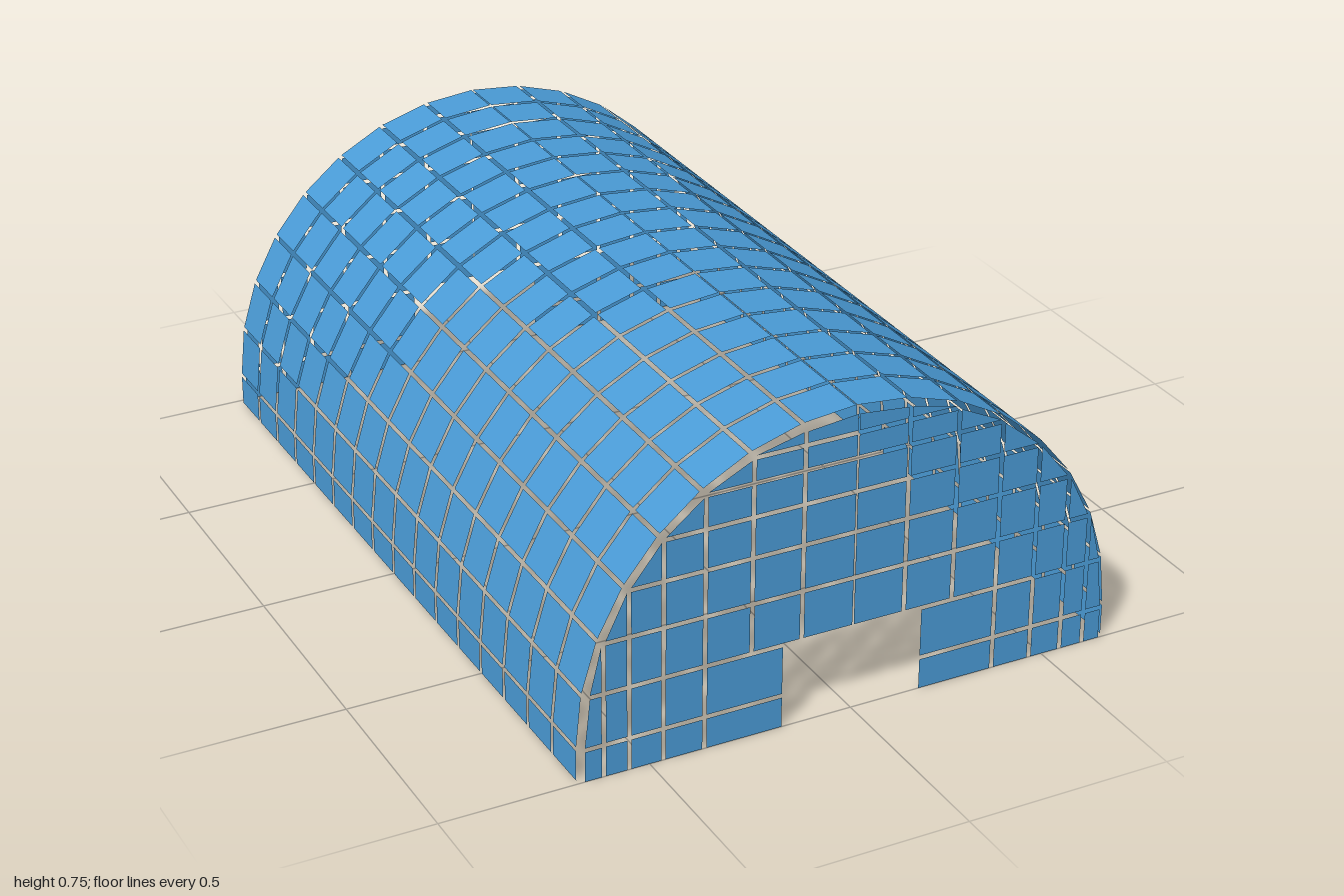
import * as THREE from 'three';
import { mergeGeometries } from 'three/addons/utils/BufferGeometryUtils.js';

const STEPS = 16;        // facets over the half circle
const SPRING = 0.08;     // height where the arch starts
const GAP = 0.01;        // open joint between panels
const H = GAP / 2;
const ROOF_R = 0.67, WALL_R = 0.66;
const RINGS = 16, PITCH = 0.124;

const material = new THREE.MeshStandardMaterial({
  color: 0x4a9bd6, side: THREE.DoubleSide, flatShading: true,
});

// Corner k of the faceted arch, counted from the right-hand springing point
const arch = (r, k) => new THREE.Vector2(
  r * Math.cos(Math.PI * k / STEPS), SPRING + r * Math.sin(Math.PI * k / STEPS));

// Flat roof panel spanning a to b in section, centred at z
function roofPanel(a, b, z, trimA, trimB) {
  const dir = b.clone().sub(a).normalize();
  const p = a.clone().addScaledVector(dir, trimA);
  const q = b.clone().addScaledVector(dir, -trimB);
  const g = new THREE.PlaneGeometry(PITCH - GAP, p.distanceTo(q));
  g.rotateY(Math.PI / 2);
  g.rotateZ(Math.atan2(dir.y, dir.x) - Math.PI / 2);
  g.translate((p.x + q.x) / 2, (p.y + q.y) / 2, z);
  return g;
}

// One lengthwise row of roof panels
function roofStrip(name, a, b, trimA, trimB) {
  const parts = [];
  for (let i = 0; i < RINGS; i++) {
    parts.push(roofPanel(a, b, (i - (RINGS - 1) / 2) * PITCH, trimA, trimB));
  }
  const mesh = new THREE.Mesh(mergeGeometries(parts), material);
  mesh.name = name;
  return mesh;
}

// End wall: a grid of panels on the arch corners, with sloped edge pieces
function wallGeometry() {
  const pts = [];
  for (let k = 0; k <= STEPS / 2; k++) pts.push(arch(WALL_R, k));
  const X = k => pts[k].x, Y = k => pts[k].y;
  const parts = [];
  const add = corners => {
    for (const s of [1, -1]) {
      const shape = new THREE.Shape(corners.map(([x, y]) => new THREE.Vector2(s * x, y)));
      parts.push(new THREE.ShapeGeometry(shape));
    }
  };
  const doorHalf = 0.175;
  for (let k = 1; k <= 7; k++) {
    const outer = X(k) - H;
    const inner = k === 7 ? 0.002 : X(k + 1) + H;
    // full panels, row by row
    const top = Math.min(k, 6);
    for (let row = 0; row <= top; row++) {
      const y0 = row === 0 ? 0 : Y(row - 1) + H;
      const y1 = Y(row) - H;
      const beside = row < 2;               // rows next to the doorway
      if (beside && k > 5) continue;
      const x0 = beside && k === 5 ? doorHalf : inner;
      const low = k === 1 && beside ? X(0) - H : outer;
      const high = k === 1 && row === 0 ? X(0) - H : outer;
      add([[x0, y0], [low, y0], [high, y1], [x0, y1]]);
    }
    // edge piece under the arch
    const base = Y(top) + H;
    if (k === 7) add([[inner, base], [outer, base], [outer, Y(7) - H], [inner, Y(8) - H]]);
    else add([[inner, base], [outer, base], [inner, Y(k + 1) - H]]);
  }
  return mergeGeometries(parts);
}

export function createModel() {
  const model = new THREE.Group();
  model.name = 'archedShelter';

  // Curved roof
  const roof = new THREE.Group();
  roof.name = 'roof';
  for (let k = 0; k < STEPS; k++) {
    const trimA = k === STEPS / 2 ? 0.002 : H;
    const trimB = k === STEPS / 2 - 1 ? 0.002 : H;
    roof.add(roofStrip('roofStrip' + (k + 1), arch(ROOF_R, k), arch(ROOF_R, k + 1), trimA, trimB));
  }

  // Upright base rows on both sides
  const foot = x => new THREE.Vector2(x, 0);
  roof.add(roofStrip('leftBaseRow', foot(ROOF_R), arch(ROOF_R, 0), 0, H));
  roof.add(roofStrip('rightBaseRow', arch(ROOF_R, STEPS), foot(-ROOF_R), H, 0));
  model.add(roof);

  // End walls with doorways
  const wall = wallGeometry();
  for (const [name, z] of [['frontWall', 1], ['backWall', -1]]) {
    const mesh = new THREE.Mesh(wall, material);
    mesh.name = name;
    mesh.position.z = z;
    if (z < 0) mesh.rotation.y = Math.PI;
    model.add(mesh);
  }
  return model;
}
